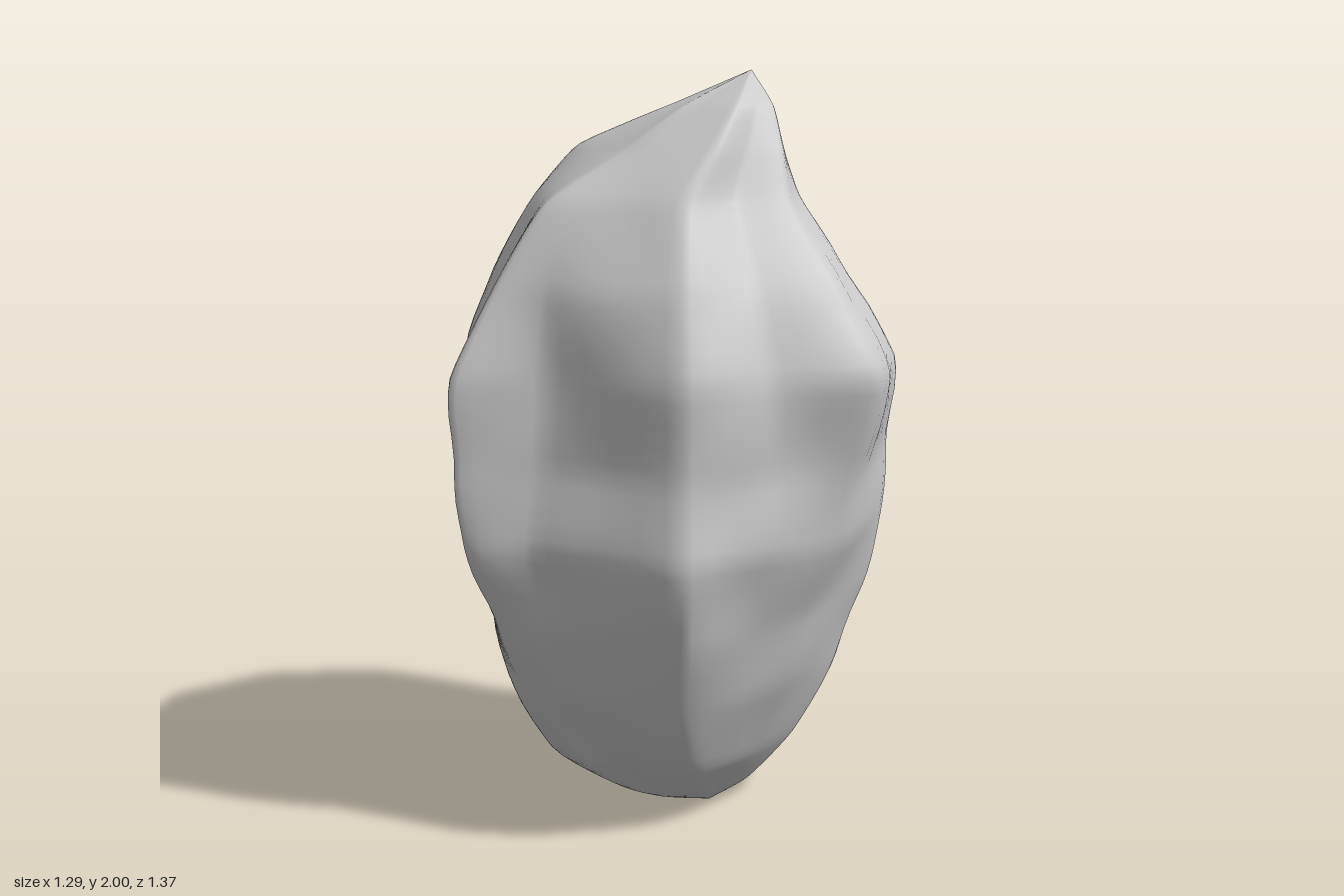
import * as THREE from 'three';

// Corner columns of the rock around its widest section, as [x, z]
const CORNERS = [
  [0.64, -0.09], [0.49, 0.15], [0.41, 0.4], [0.02, 0.51], [-0.14, 0.68],
  [-0.28, 0.51], [-0.46, 0.32], [-0.63, 0.17], [-0.63, -0.25],
  [-0.5, -0.45], [-0.14, -0.58], [0.13, -0.69], [0.41, -0.45],
];

// Height of each section, and how far out every corner sits there
const HEIGHTS = [1.91, 1.8, 1.67, 1.46, 1.24, 1.0, 0.8, 0.6, 0.39, 0.18, 0.05];
const SPREAD = [
  [0.2, 0.24, 0.26, 0.26, 0.22, 0.24, 0.26, 0.27, 0.26, 0.22, 0.18, 0.16, 0.17],
  [0.37, 0.4, 0.44, 0.48, 0.38, 0.46, 0.58, 0.6, 0.55, 0.42, 0.34, 0.27, 0.32],
  [0.54, 0.56, 0.6, 0.72, 0.6, 0.64, 0.71, 0.66, 0.66, 0.61, 0.54, 0.46, 0.52],
  [0.8, 0.83, 0.8, 0.92, 0.8, 0.83, 0.9, 0.86, 0.86, 0.81, 0.78, 0.72, 0.76],
  [1.0, 1.0, 0.92, 0.96, 0.98, 0.95, 1.03, 1.0, 1.0, 0.97, 0.93, 1.0, 0.97],
  [0.89, 0.99, 0.94, 0.97, 0.98, 0.82, 0.96, 0.97, 0.97, 0.97, 0.93, 0.95, 0.95],
  [0.82, 1.02, 1.0, 1.06, 0.94, 0.86, 0.92, 0.95, 0.92, 0.9, 0.97, 0.91, 0.92],
  [0.69, 0.88, 0.92, 1.02, 0.81, 0.88, 0.87, 0.79, 0.77, 0.8, 1.02, 0.86, 0.85],
  [0.58, 0.74, 0.78, 0.87, 0.69, 0.82, 0.79, 0.65, 0.62, 0.69, 1.08, 0.82, 0.72],
  [0.36, 0.48, 0.52, 0.6, 0.53, 0.68, 0.64, 0.51, 0.48, 0.5, 0.7, 0.56, 0.48],
  [0.16, 0.2, 0.24, 0.34, 0.28, 0.38, 0.44, 0.42, 0.36, 0.35, 0.36, 0.29, 0.23],
];
const TOP = new THREE.Vector3(0.15, 2, -0.13);
const BOTTOM = new THREE.Vector3(0.1, 0, -0.03);

// The core leans towards the peak at the top and towards the tip at the base
function coreAt(y) {
  const up = THREE.MathUtils.smoothstep(y, 1.6, 2.0);
  const down = 1 - THREE.MathUtils.smoothstep(y, 0, 0.4);
  return [0.13 * up + 0.06 * down, -0.11 * up - 0.03 * down];
}

// Shallow, vertically stretched weathering
function weathering(x, y, z) {
  return 0.008 * Math.sin(17 * x + 3 * y + 2) * Math.cos(15 * z - 4 * y)
    + 0.006 * Math.sin(11 * y + 9 * x - 7 * z) + 0.005 * Math.sin(25 * y + 13 * z - 8 * x);
}

function rockGeometry() {
  const stepsDown = (HEIGHTS.length + 1) * 5;
  const around = CORNERS.length * 6;

  // One curve from peak to tip through every corner column
  const columns = CORNERS.map(([x, z], c) => new THREE.CatmullRomCurve3([
    TOP,
    ...HEIGHTS.map((y, r) => {
      const [cx, cz] = coreAt(y);
      return new THREE.Vector3(cx + x * SPREAD[r][c], y, cz + z * SPREAD[r][c]);
    }),
    BOTTOM,
  ], false, 'catmullrom', 0.3));

  // Closed rings across the columns
  const positions = [...TOP.toArray()];
  for (let i = 1; i < stepsDown; i++) {
    const ring = new THREE.CatmullRomCurve3(
      columns.map((curve) => curve.getPoint(i / stepsDown)), true, 'catmullrom', 0.22);
    const fade = Math.min(1, i / 8, (stepsDown - i) / 8);
    for (let j = 0; j < around; j++) {
      const p = ring.getPoint(j / around);
      const [cx, cz] = coreAt(p.y);
      const k = 1 + fade * weathering(p.x, p.y, p.z);
      positions.push(cx + (p.x - cx) * k, p.y, cz + (p.z - cz) * k);
    }
  }
  positions.push(...BOTTOM.toArray());

  // Fans at both ends, quads in between
  const at = (i, j) => 1 + (i - 1) * around + (j % around);
  const last = positions.length / 3 - 1;
  const index = [];
  for (let j = 0; j < around; j++) {
    index.push(0, at(1, j + 1), at(1, j));
    for (let i = 1; i < stepsDown - 1; i++) {
      const a = at(i, j), b = at(i, j + 1), c = at(i + 1, j), d = at(i + 1, j + 1);
      index.push(a, b, c, b, d, c);
    }
    index.push(at(stepsDown - 1, j), at(stepsDown - 1, j + 1), last);
  }

  const geometry = new THREE.BufferGeometry();
  geometry.setAttribute('position', new THREE.Float32BufferAttribute(positions, 3));
  geometry.setIndex(index);
  geometry.computeVertexNormals();
  return geometry;
}

export function createModel() {
  const group = new THREE.Group();
  group.name = 'boulder';
  const rock = new THREE.Mesh(rockGeometry(), new THREE.MeshStandardMaterial({ color: 0xcccccc }));
  rock.name = 'rock';
  group.add(rock);
  return group;
}
